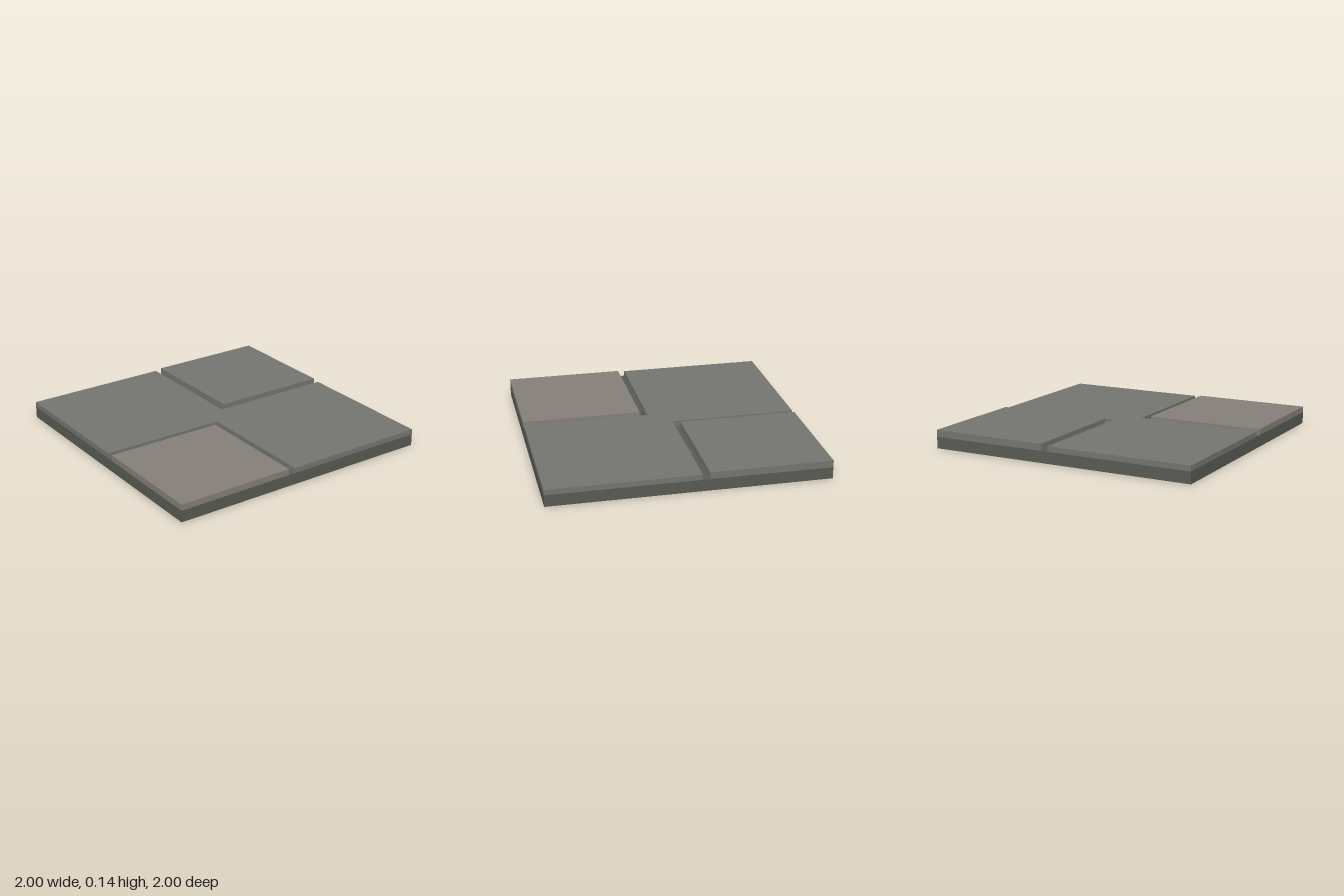
import * as THREE from 'three';

const BED_TOP = 0.085;

export function createModel() {
  const group = new THREE.Group();
  group.name = 'stoneFloorTile';

  const add = (name, geometry, color) => {
    const mesh = new THREE.Mesh(geometry, new THREE.MeshStandardMaterial({ color, flatShading: true }));
    mesh.name = name;
    group.add(mesh);
  };
  // Box given by its limits on each axis
  const block = (name, x0, x1, y0, y1, z0, z1, color) => {
    const geometry = new THREE.BoxGeometry(x1 - x0, y1 - y0, z1 - z0);
    geometry.translate((x0 + x1) / 2, (y0 + y1) / 2, (z0 + z1) / 2);
    add(name, geometry, color);
  };

  // Dark mortar bed, visible in the joints
  block('mortarBed', -1, 1, 0, BED_TOP, -1, 1, 0x585b53);

  // Main paving: a square with the back right and front left corners cut out
  const g = 0.077;
  const outline = [[-1, -1], [g, -1], [g, -g], [1, -g], [1, 1], [-g, 1], [-g, g], [-1, g]];
  const shape = new THREE.Shape(outline.map(([x, y]) => new THREE.Vector2(x, y)));
  const paving = new THREE.ExtrudeGeometry(shape, { depth: 0.124 - BED_TOP, bevelEnabled: false });
  paving.rotateX(-Math.PI / 2);
  paving.translate(0, BED_TOP, 0);
  add('mainPaving', paving, 0x747570);

  // Raised corner slabs
  block('backCornerSlab', -1, -0.127, BED_TOP, 0.135, -1, -0.127, 0x747570);
  block('frontCornerSlab', 0.127, 1, BED_TOP, 0.13, 0.127, 1, 0x847e77);

  // Small fillings in the joints
  block('mossPatch', -0.1, -0.077, BED_TOP, 0.11, -0.63, -0.54, 0x5d6a48);
  block('jointChip', 0.077, 0.092, BED_TOP, 0.108, 0.14, 0.225, 0x5c5f56);

  return group;
}
